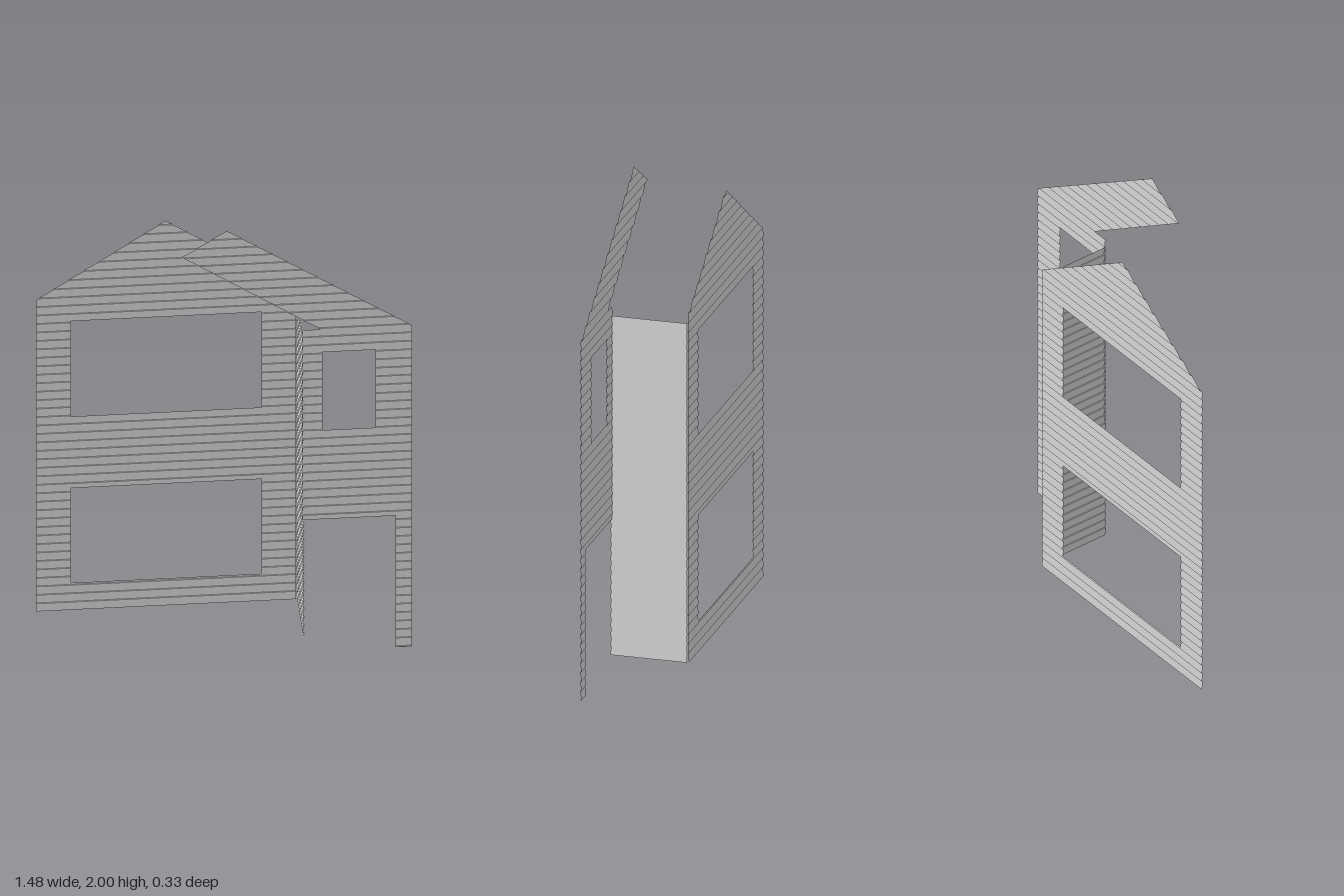
import * as THREE from 'three';

const PITCH = 0.0399; // height of one siding board
const BASE = 0.004;   // height of the lowest board joint
const LIP = 0.005;    // how far each board's lower edge stands out
const SKEW = 0.0252;  // slight turn of the walls about y

const rect = (x0, x1, y0, y1) => [[x0, y0], [x1, y0], [x1, y1], [x0, y1]];

// Clapboard sheet: loops are the outline and its openings (even-odd),
// place(u, y, w) sets a point of the wall, w being the distance outwards.
function sidingWall(name, loops, place) {
  const edges = loops.flatMap(l => l.map((p, i) => [p, l[(i + 1) % l.length]]));
  const joints = Array.from({ length: 51 }, (_, k) => BASE + k * PITCH);
  const levels = [...joints, ...loops.flat().map(p => p[1])].sort((a, b) => a - b);
  const pos = [];
  const quad = (a, b, c, d) => {
    for (const p of [a, b, c, a, c, d]) pos.push(...place(...p));
  };
  for (let i = 0; i + 1 < levels.length; i++) {
    const y0 = levels[i], y1 = levels[i + 1], mid = (y0 + y1) / 2;
    if (y1 - y0 < 1e-5) continue;
    // the board leans: lower edge out, upper edge in
    const row = Math.floor((mid - BASE) / PITCH);
    const out = y => LIP * (1 - (y - BASE - row * PITCH) / PITCH);
    const cuts = edges
      .filter(([a, b]) => (a[1] < mid) !== (b[1] < mid))
      .map(([a, b]) => y => a[0] + (b[0] - a[0]) * (y - a[1]) / (b[1] - a[1]))
      .sort((f, g) => f(mid) - g(mid));
    for (let j = 0; j + 1 < cuts.length; j += 2) {
      const [l, r] = [cuts[j], cuts[j + 1]];
      quad([l(y0), y0, out(y0)], [r(y0), y0, out(y0)],
        [r(y1), y1, out(y1)], [l(y1), y1, out(y1)]);
      // underside of the board
      if (joints.includes(y0)) {
        quad([l(y0), y0, 0], [r(y0), y0, 0], [r(y0), y0, LIP], [l(y0), y0, LIP]);
      }
    }
  }
  const geo = new THREE.BufferGeometry();
  geo.setAttribute('position', new THREE.Float32BufferAttribute(pos, 3));
  geo.computeVertexNormals();
  const mesh = new THREE.Mesh(geo, new THREE.MeshStandardMaterial({
    color: 0xcccccc, side: THREE.DoubleSide, flatShading: true,
  }));
  mesh.name = name;
  return mesh;
}

export function createModel() {
  const group = new THREE.Group();
  group.name = 'houseFacade';

  // gabled wall with two large window openings
  group.add(sidingWall('gableWall', [
    [[-0.74, 0.044], [0.295, 0.044], [0.295, 1.513], [-0.224, 1.858], [-0.74, 1.513]],
    rect(-0.6, 0.159, 0.172, 0.619),
    rect(-0.6, 0.159, 0.958, 1.405),
  ], (u, y, w) => [u, y, -0.157 - SKEW * u - w]));

  // set-back wall with door opening, small window and sloping gable strip
  group.add(sidingWall('porchWall', [
    [[0.672, 0], [0.738, 0], [0.738, 1.513], [0, 2], [-0.178, 1.884],
      [0.373, 1.515], [0.302, 1.515], [0.302, 0.619], [0.672, 0.619]],
    rect(0.381, 0.593, 1.04, 1.405),
  ], (u, y, w) => [u, y, 0.158 - SKEW * u - w]));

  // return wall joining the two
  group.add(sidingWall('returnWall', [rect(-0.163, 0.153, 0.044, 1.477)],
    (u, y, w) => [0.3 + SKEW * u + w, y, u]));

  return group;
}
